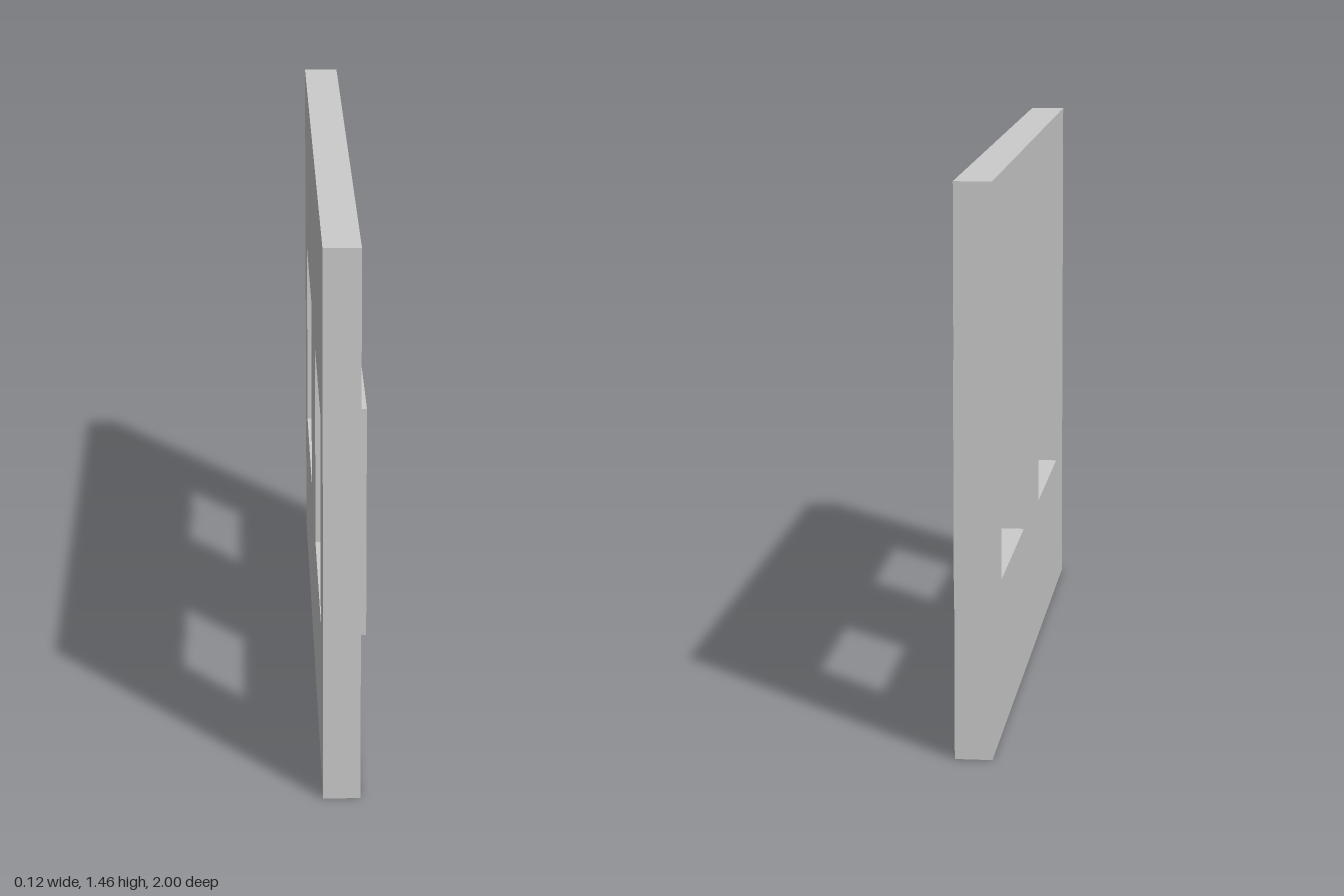
import * as THREE from 'three';

const material = new THREE.MeshStandardMaterial({ color: 0xcccccc, flatShading: true });

// Window openings in the wall plane: z range, y range, and outer face of the trim
const TRIM = 0.026;
const WALL_BACK = -0.06, WALL_FACE = 0.035;
const openings = [
  { name: 'leftWindowFrame', z0: 0.217, z1: 0.786, y0: 0.397, y1: 0.958, face: 0.056 },
  { name: 'rightWindowFrame', z0: -0.788, z1: -0.21, y0: 0.412, y1: 0.958, face: 0.059 },
];

// Rectangle grown by a margin, drawn with shape x = -z
function trace(path, { z0, z1, y0, y1 }, grow = 0) {
  path.moveTo(-z1 - grow, y0 - grow);
  path.lineTo(-z0 + grow, y0 - grow);
  path.lineTo(-z0 + grow, y1 + grow);
  path.lineTo(-z1 - grow, y1 + grow);
  path.closePath();
  return path;
}

// Slab with rectangular holes, extruded along x from x0 to x1
function slab(name, outline, holes, x0, x1) {
  outline.holes = holes.map((h) => trace(new THREE.Path(), h));
  const geometry = new THREE.ExtrudeGeometry(outline, { depth: x1 - x0, bevelEnabled: false });
  geometry.rotateY(Math.PI / 2).translate(x0, 0, 0);
  const mesh = new THREE.Mesh(geometry, material);
  mesh.name = name;
  return mesh;
}

export function createModel() {
  const model = new THREE.Group();
  model.name = 'wallWithWindows';

  // Wall panel pierced by both windows
  const panel = trace(new THREE.Shape(), { z0: -1, z1: 1, y0: 0, y1: 1.455 });
  model.add(slab('wall', panel, openings, WALL_BACK, WALL_FACE));

  // Thin raised trim around each window, on one face only
  for (const o of openings) {
    model.add(slab(o.name, trace(new THREE.Shape(), o, TRIM), [o], WALL_FACE, o.face));
  }
  return model;
}
